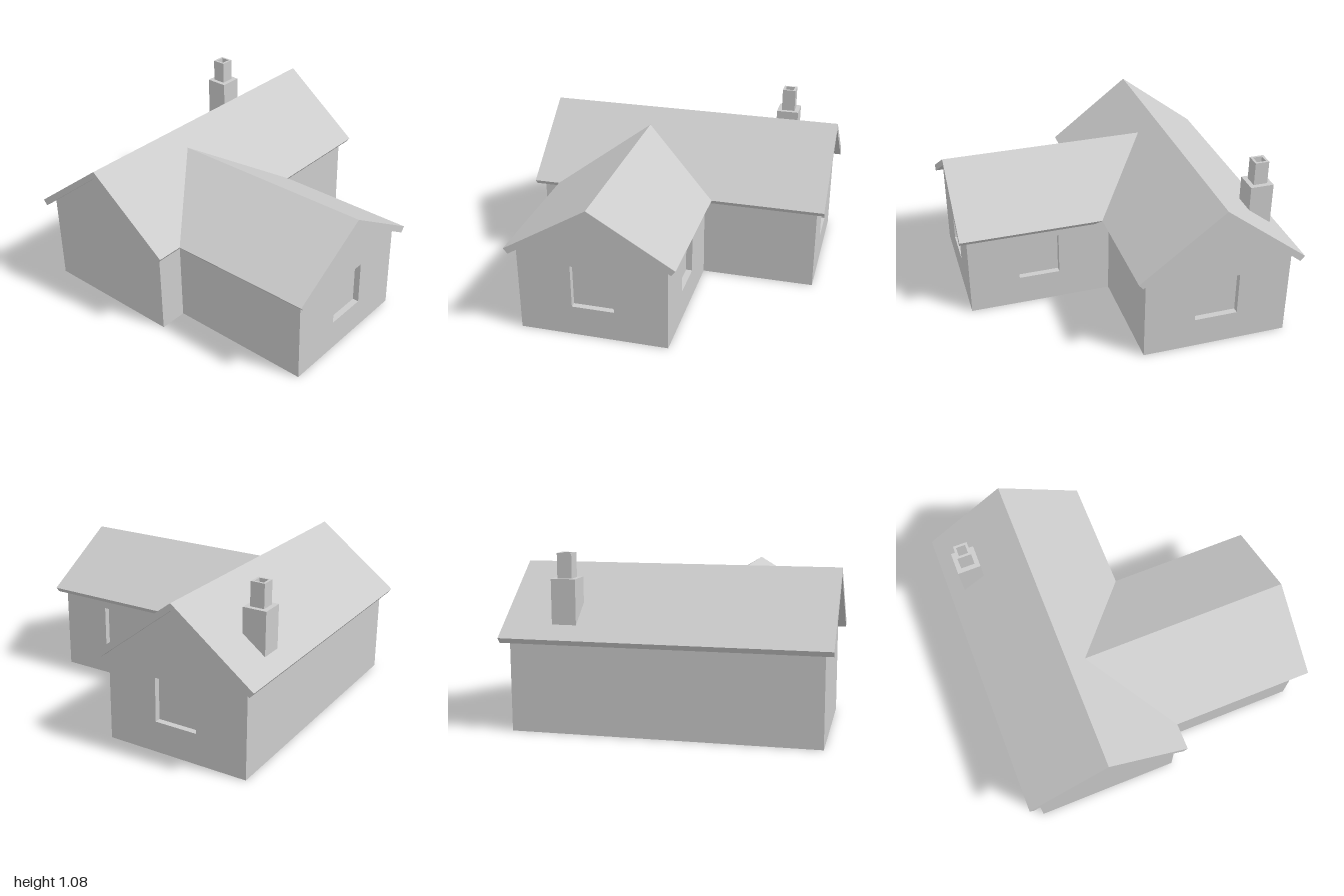
import * as THREE from 'three';

const material = new THREE.MeshStandardMaterial({ color: 0xcccccc, flatShading: true });
const WALL = 0.04; // depth of the window recesses

function polygon(points, hole) {
  const shape = new THREE.Shape(points.map(([x, y]) => new THREE.Vector2(x, y)));
  if (hole) {
    const [x0, x1, y0, y1] = hole;
    shape.holes.push(new THREE.Path([[x0, y0], [x0, y1], [x1, y1], [x1, y0]].map(p => new THREE.Vector2(...p))));
  }
  return shape;
}

// Extrudes a profile along z, from one depth to another
function extrude(shape, from, to) {
  return new THREE.ExtrudeGeometry(shape, { depth: to - from, bevelEnabled: false }).translate(0, 0, from);
}

// Extrudes a (-z, y) profile along x
const extrudeX = (shape, from, to) => extrude(shape, from, to).rotateY(Math.PI / 2);

// Pitched roof section: outer ridge, eaves, then the underside
function roofProfile(centre, ridge, under, half) {
  return polygon([
    [centre, ridge], [centre - half, 0.58], [centre - half + 0.027, 0.547],
    [centre, under], [centre + half - 0.027, 0.547], [centre + half, 0.58],
  ]);
}

// House wall section with a gable on top
const gable = (x0, x1, eave, peakX, peak) => [[x0, 0], [x1, 0], [x1, eave], [peakX, peak], [x0, eave]];

export function createModel() {
  const house = new THREE.Group();
  house.name = 'house';
  const add = (name, geometry) => {
    const mesh = new THREE.Mesh(geometry, material);
    mesh.name = name;
    house.add(mesh);
  };

  // Main block, with a window in its left gable
  const mainGable = gable(-0.01, 0.935, 0.585, 0.4625, 0.945);
  add('mainWalls', extrudeX(polygon(mainGable), -0.94, 0.94 - WALL));
  add('mainWindowWall', extrudeX(polygon(mainGable, [0.32, 0.6, 0.2, 0.485]), 0.94 - WALL, 0.94));
  add('mainRoof', extrudeX(roofProfile(0.465, 0.99, 0.945, 0.535), -0.99, 0.99));

  // Front wing, with windows in the front gable and the left wall
  const core = [[-0.76, 0], [0.19 - WALL, 0], [0.19 - WALL, 0.592], [-0.285, 0.855], [-0.76, 0.568]];
  add('wingWalls', extrude(polygon(core), -0.1, 0.95 - WALL));
  add('wingFrontWall', extrude(
    polygon(gable(-0.76, 0.19, 0.568, -0.285, 0.855), [-0.42, -0.15, 0.2, 0.485]), 0.95 - WALL, 0.95));
  add('wingSideWall', extrudeX(
    polygon([[WALL - 0.95, 0], [0.1, 0], [0.1, 0.568], [WALL - 0.95, 0.568]], [-0.62, -0.35, 0.2, 0.485]),
    0.19 - WALL, 0.19));

  // Wing roof: its back end is trimmed to the slope of the main roof
  const wingRoof = extrude(roofProfile(-0.285, 0.9, 0.855, 0.535), 0, 1);
  const p = wingRoof.attributes.position;
  for (let i = 0; i < p.count; i++) {
    if (p.getZ(i) < 0.5) p.setZ(i, -0.468 + (0.99 - p.getY(i)) * 0.535 / 0.41);
  }
  wingRoof.computeVertexNormals();
  add('wingRoof', wingRoof);

  // Chimney: solid base and a hollow square flue
  add('chimneyBase', new THREE.BoxGeometry(0.15, 0.33, 0.15).translate(0.61, 0.765, -0.825));
  const flue = polygon([[-0.045, -0.045], [0.045, -0.045], [0.045, 0.045], [-0.045, 0.045]], [-0.03, 0.03, -0.03, 0.03]);
  add('chimneyFlue', extrude(flue, 0, 0.15).rotateX(-Math.PI / 2).translate(0.61, 0.93, -0.825));

  return house;
}
